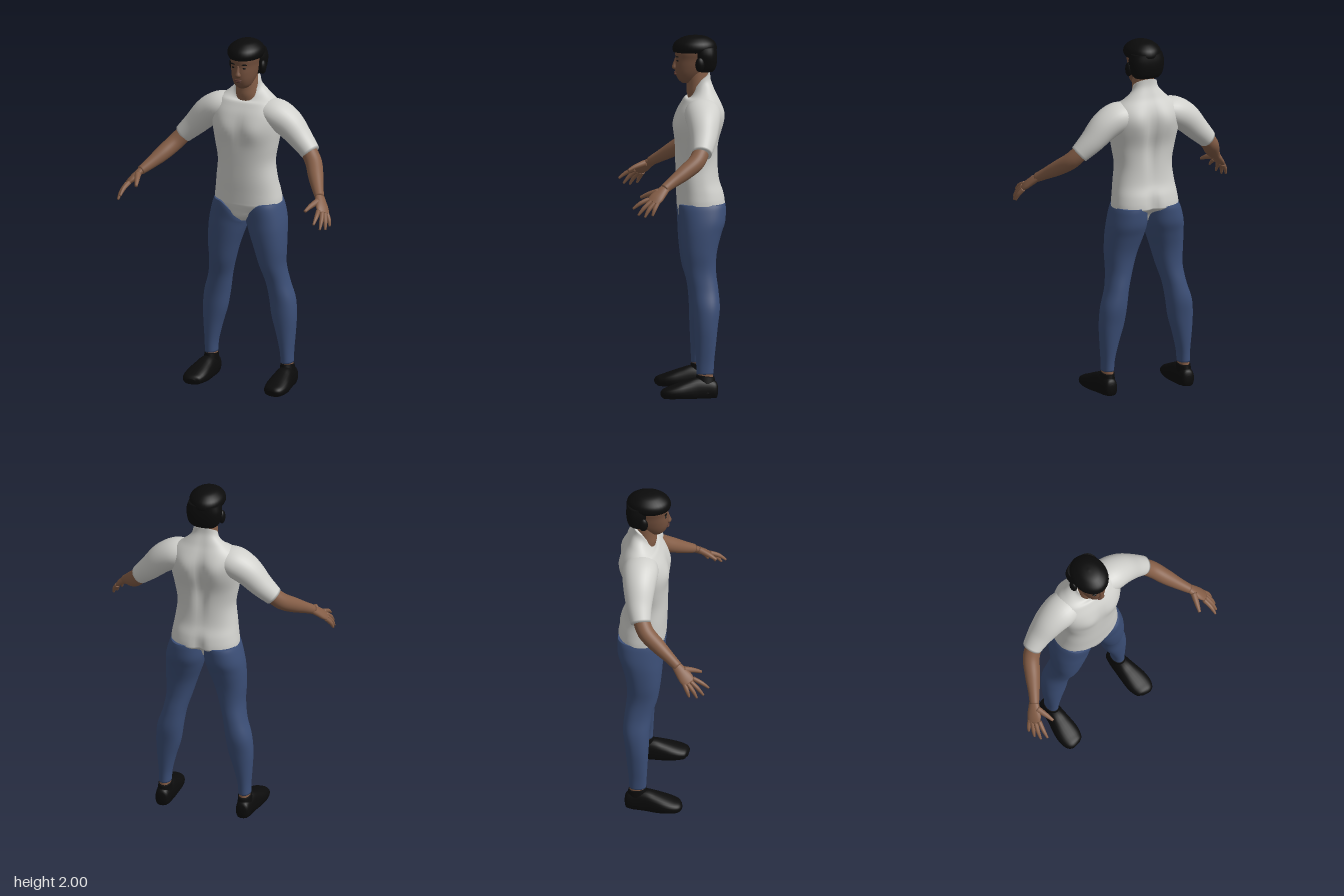
import * as THREE from 'three';

const paint = (name, color) => {
  const m = new THREE.MeshStandardMaterial({ color });
  m.name = name;
  return m;
};

// Smooth value through control rows, column by column
function sample(rows, t) {
  const n = rows.length - 1, i = Math.min(Math.floor(t), n - 1), f = t - i;
  const at = k => rows[Math.max(0, Math.min(n, k))];
  return rows[i].map((_, c) => {
    const a = at(i - 1)[c], b = at(i)[c], d = at(i + 1)[c], e = at(i + 2)[c];
    return b + 0.5 * f * (d - a + f * (2 * a - 5 * b + 4 * d - e + f * (3 * (b - d) + e - a)));
  });
}

// Lofted body. Rows are [x, y, z, half width, half depth]. Sections lie flat,
// or turn with the path when a reference direction is given.
function loft(name, material, rows, { ref = null, sides = 32, steps = 5, e = 1, warp = null } = {}) {
  const rings = (rows.length - 1) * steps, pos = [], index = [];
  const pts = [];
  for (let i = 0; i <= rings; i++) pts.push(sample(rows, i / steps));
  const centre = i => new THREE.Vector3(...pts[i].slice(0, 3));
  const bend = x => Math.sign(x) * Math.abs(x) ** e;
  const put = p => { if (warp) warp(p); pos.push(p.x, p.y, p.z); };
  for (let i = 0; i <= rings; i++) {
    const T = new THREE.Vector3(0, 1, 0), u = new THREE.Vector3(1, 0, 0);
    if (ref) {
      T.copy(centre(Math.min(i + 1, rings))).sub(centre(Math.max(i - 1, 0))).normalize();
      u.crossVectors(T, ref).normalize();
    }
    const v = new THREE.Vector3().crossVectors(u, T);
    for (let j = 0; j < sides; j++) {
      const a = j / sides * Math.PI * 2;
      put(centre(i).addScaledVector(u, pts[i][3] * bend(Math.cos(a))).addScaledVector(v, pts[i][4] * bend(Math.sin(a))));
    }
  }
  put(centre(0));
  put(centre(rings));
  const low = (rings + 1) * sides, high = low + 1;
  for (let j = 0; j < sides; j++) {
    const k = (j + 1) % sides;
    for (let i = 0; i < rings; i++) {
      const a = i * sides + j, b = i * sides + k, c = a + sides, d = b + sides;
      index.push(a, c, b, b, c, d);
    }
    index.push(low, j, k, high, rings * sides + k, rings * sides + j);
  }
  const g = new THREE.BufferGeometry();
  g.setAttribute('position', new THREE.Float32BufferAttribute(pos, 3));
  g.setIndex(index);
  g.computeVertexNormals();
  const mesh = new THREE.Mesh(g, material);
  mesh.name = name;
  return mesh;
}

function ellipsoid(name, material, [x, y, z], [a, b, c]) {
  const g = new THREE.SphereGeometry(1, 18, 12).scale(a, b, c).translate(x, y, z);
  const mesh = new THREE.Mesh(g, material);
  mesh.name = name;
  return mesh;
}

// Copy reflected to the other side, with the face order turned round
function mirrored(mesh) {
  const g = mesh.geometry.clone().scale(-1, 1, 1), ix = g.index;
  for (let i = 0; i < ix.count; i += 3) {
    const b = ix.getX(i + 1);
    ix.setX(i + 1, ix.getX(i + 2));
    ix.setX(i + 2, b);
  }
  g.computeVertexNormals();
  const m = new THREE.Mesh(g, mesh.material);
  m.name = mesh.name.replace('left', 'right');
  return m;
}

export function createModel() {
  const model = new THREE.Group();
  model.name = 'standingMan';
  const shirt = paint('shirt white', 0xd0d0cc), jeans = paint('denim blue', 0x3b4e76);
  const skin = paint('skin', 0x855e47), face = paint('face skin', 0x73503d);
  const lip = paint('lip', 0x5a3830), black = paint('black', 0x0b0b0b);
  const add = (...m) => model.add(...m);
  const pair = m => model.add(m, mirrored(m));
  const bump = (x, c, w) => Math.exp(-(((x - c) / w) ** 2));
  const Y = new THREE.Vector3(0, 1, 0), Z = new THREE.Vector3(0, 0, 1);

  // Shirt body: chest, spine groove and sloping collar
  add(loft('shirtBody', shirt, [
    [0, 0.955, -0.1, 0.02, 0.045], [0, 0.985, -0.105, 0.07, 0.082],
    [0, 1.02, -0.115, 0.125, 0.1], [0, 1.055, -0.138, 0.185, 0.13],
    [0, 1.075, -0.141, 0.192, 0.134], [0, 1.13, -0.135, 0.185, 0.13],
    [0, 1.2, -0.122, 0.175, 0.12], [0, 1.3, -0.117, 0.165, 0.117],
    [0, 1.4, -0.117, 0.182, 0.12], [0, 1.5, -0.125, 0.2, 0.134],
    [0, 1.58, -0.137, 0.205, 0.125], [0, 1.64, -0.145, 0.175, 0.1],
    [0, 1.68, -0.142, 0.125, 0.077], [0, 1.72, -0.138, 0.08, 0.06],
    [0, 1.755, -0.14, 0.068, 0.054],
  ], {
    sides: 64, e: 0.86, warp: p => {
      const d = p.z + 0.14, x = Math.abs(p.x);
      if (d > 0.04) p.z += bump(p.y, 1.5, 0.07) * (0.008 * bump(x, 0.09, 0.05) - 0.008 * bump(x, 0, 0.03));
      if (d < -0.04) {
        p.z += 0.022 * bump(x, 0, 0.028) * Math.max(bump(p.y, 1.45, 0.18), bump(p.y, 1.06, 0.07));
        p.z -= 0.012 * bump(x, 0.09, 0.05) * bump(p.y, 1.56, 0.07);
      }
      p.y -= d * (d > 0 ? 1.3 : 0.7) * THREE.MathUtils.smoothstep(p.y, 1.64, 1.755);
    },
  }));

  // Sleeves and forearms
  pair(loft('leftSleeve', shirt, [
    [0.1, 1.59, -0.14, 0.07, 0.09], [0.17, 1.578, -0.14, 0.085, 0.1],
    [0.245, 1.535, -0.14, 0.082, 0.09], [0.322, 1.457, -0.135, 0.067, 0.072],
    [0.392, 1.388, -0.12, 0.053, 0.055],
  ], { ref: Z }));
  pair(loft('leftForearm', skin, [
    [0.36, 1.42, -0.127, 0.045, 0.045], [0.42, 1.35, -0.09, 0.047, 0.047],
    [0.47, 1.293, -0.015, 0.043, 0.042], [0.512, 1.25, 0.05, 0.033, 0.032],
    [0.548, 1.217, 0.1, 0.025, 0.027],
  ], { ref: Z }));

  // Hands: palm, four fingers and thumb
  pair(loft('leftPalm', skin, [
    [0.535, 1.23, 0.082, 0.025, 0.02], [0.562, 1.2, 0.115, 0.034, 0.02],
    [0.585, 1.172, 0.145, 0.041, 0.018], [0.604, 1.15, 0.168, 0.036, 0.011],
  ], { ref: new THREE.Vector3(0.66, 0.73, 0.15), sides: 20 }));
  const fingers = {
    IndexFinger: [[0.58, 1.167, 0.186], [0.59, 1.145, 0.235], [0.592, 1.115, 0.275]],
    MiddleFinger: [[0.597, 1.157, 0.174], [0.612, 1.122, 0.215], [0.618, 1.082, 0.248]],
    RingFinger: [[0.606, 1.15, 0.157], [0.625, 1.112, 0.19], [0.635, 1.073, 0.212]],
    LittleFinger: [[0.61, 1.147, 0.14], [0.632, 1.114, 0.158], [0.642, 1.082, 0.17]],
    Thumb: [[0.552, 1.205, 0.13], [0.532, 1.188, 0.185], [0.517, 1.168, 0.228]],
  };
  for (const [name, path] of Object.entries(fingers)) {
    const radii = name === 'Thumb' ? [0.019, 0.014, 0.008] : [0.013, 0.0115, 0.006];
    pair(loft('left' + name, skin, path.map((p, i) => [...p, radii[i], radii[i]]), { ref: Y, sides: 12 }));
  }

  // Trouser legs, cut lower at the inner front
  pair(loft('leftTrouserLeg', jeans, [
    [0.232, 0.135, -0.15, 0.034, 0.047], [0.23, 0.2, -0.15, 0.037, 0.05],
    [0.222, 0.3, -0.153, 0.053, 0.058], [0.21, 0.4, -0.156, 0.07, 0.066],
    [0.198, 0.5, -0.16, 0.073, 0.074], [0.175, 0.6, -0.15, 0.066, 0.077],
    [0.153, 0.7, -0.13, 0.073, 0.086], [0.14, 0.8, -0.125, 0.09, 0.096],
    [0.122, 0.9, -0.133, 0.106, 0.113], [0.111, 0.97, -0.143, 0.109, 0.126],
    [0.102, 1.04, -0.143, 0.1, 0.131], [0.097, 1.07, -0.142, 0.092, 0.129],
  ], {
    sides: 40, e: 0.92, warp: p => {
      if (p.z > -0.14 && p.y > 0.9) {
        const inner = 1 - THREE.MathUtils.smoothstep(p.x, 0.0, 0.13);
        p.y -= 0.09 * inner * THREE.MathUtils.smoothstep(p.y, 0.9, 1.07) * Math.min(1, (p.z + 0.14) / 0.05);
      }
    },
  }));

  // Ankles and shoes
  pair(loft('leftAnkle', skin, [
    [0.232, 0.08, -0.15, 0.034, 0.046], [0.232, 0.15, -0.15, 0.031, 0.044],
  ], { sides: 20 }));
  pair(loft('leftShoeCollar', black, [
    [0.235, 0.03, -0.15, 0.046, 0.062], [0.234, 0.08, -0.15, 0.041, 0.058], [0.232, 0.126, -0.152, 0.036, 0.05],
  ], { sides: 24, warp: p => { p.y -= (p.z + 0.15) * -0.15; } }));
  pair(loft('leftShoe', black, [
    [0.235, 0.045, -0.221, 0.012, 0.018], [0.235, 0.045, -0.208, 0.036, 0.05],
    [0.235, 0.045, -0.15, 0.046, 0.068], [0.237, 0.045, -0.1, 0.052, 0.072],
    [0.241, 0.042, -0.05, 0.06, 0.06], [0.245, 0.037, 0, 0.066, 0.048],
    [0.248, 0.032, 0.045, 0.063, 0.037], [0.247, 0.028, 0.08, 0.05, 0.028],
    [0.245, 0.025, 0.096, 0.025, 0.013],
  ], { ref: Y, sides: 28, e: 0.85, warp: p => { p.y = Math.max(p.y, 0.003); } }));

  // Neck and head
  add(loft('neck', skin, [
    [0, 1.62, -0.13, 0.06, 0.05], [0, 1.68, -0.125, 0.064, 0.062],
    [0, 1.73, -0.122, 0.062, 0.06], [0, 1.82, -0.12, 0.058, 0.062],
  ]));
  add(loft('head', face, [
    [0, 1.735, -0.075, 0.028, 0.04], [0, 1.755, -0.075, 0.047, 0.06],
    [0, 1.79, -0.085, 0.062, 0.085], [0, 1.83, -0.095, 0.07, 0.098],
    [0, 1.87, -0.1, 0.074, 0.099], [0, 1.91, -0.105, 0.08, 0.107],
    [0, 1.95, -0.105, 0.07, 0.095],
  ], { e: 0.93 }));

  // Facial features
  add(loft('nose', face, [
    [0, 1.81, 0.0, 0.014, 0.01], [0, 1.822, 0.003, 0.018, 0.017],
    [0, 1.845, -0.002, 0.01, 0.015], [0, 1.875, -0.006, 0.007, 0.008],
  ], { sides: 16 }));
  add(ellipsoid('upperLip', lip, [0, 1.793, 0.001, 0], [0.023, 0.005, 0.008]));
  add(ellipsoid('lowerLip', lip, [0, 1.784, -0.001], [0.02, 0.006, 0.009]));
  pair(ellipsoid('leftEye', black, [0.03, 1.862, -0.011], [0.013, 0.005, 0.006]));
  pair(ellipsoid('leftEyebrow', black, [0.032, 1.883, -0.009], [0.02, 0.004, 0.007]));

  // Hair: cap, back and the sides over the ears
  add(loft('hairCap', black, [
    [0, 1.908, -0.107, 0.09, 0.118], [0, 1.93, -0.107, 0.1, 0.124],
    [0, 1.96, -0.108, 0.092, 0.112], [0, 1.985, -0.11, 0.063, 0.078],
    [0, 1.996, -0.11, 0.035, 0.045], [0, 2.0, -0.11, 0.004, 0.005],
  ]));
  add(loft('hairBack', black, [
    [0, 1.8, -0.165, 0.07, 0.045], [0, 1.82, -0.168, 0.087, 0.056],
    [0, 1.86, -0.168, 0.097, 0.063], [0, 1.9, -0.165, 0.1, 0.066],
    [0, 1.94, -0.16, 0.09, 0.065],
  ], { e: 0.8 }));
  pair(ellipsoid('leftHairSide', black, [0.092, 1.845, -0.13], [0.018, 0.04, 0.026]));
  return model;
}
